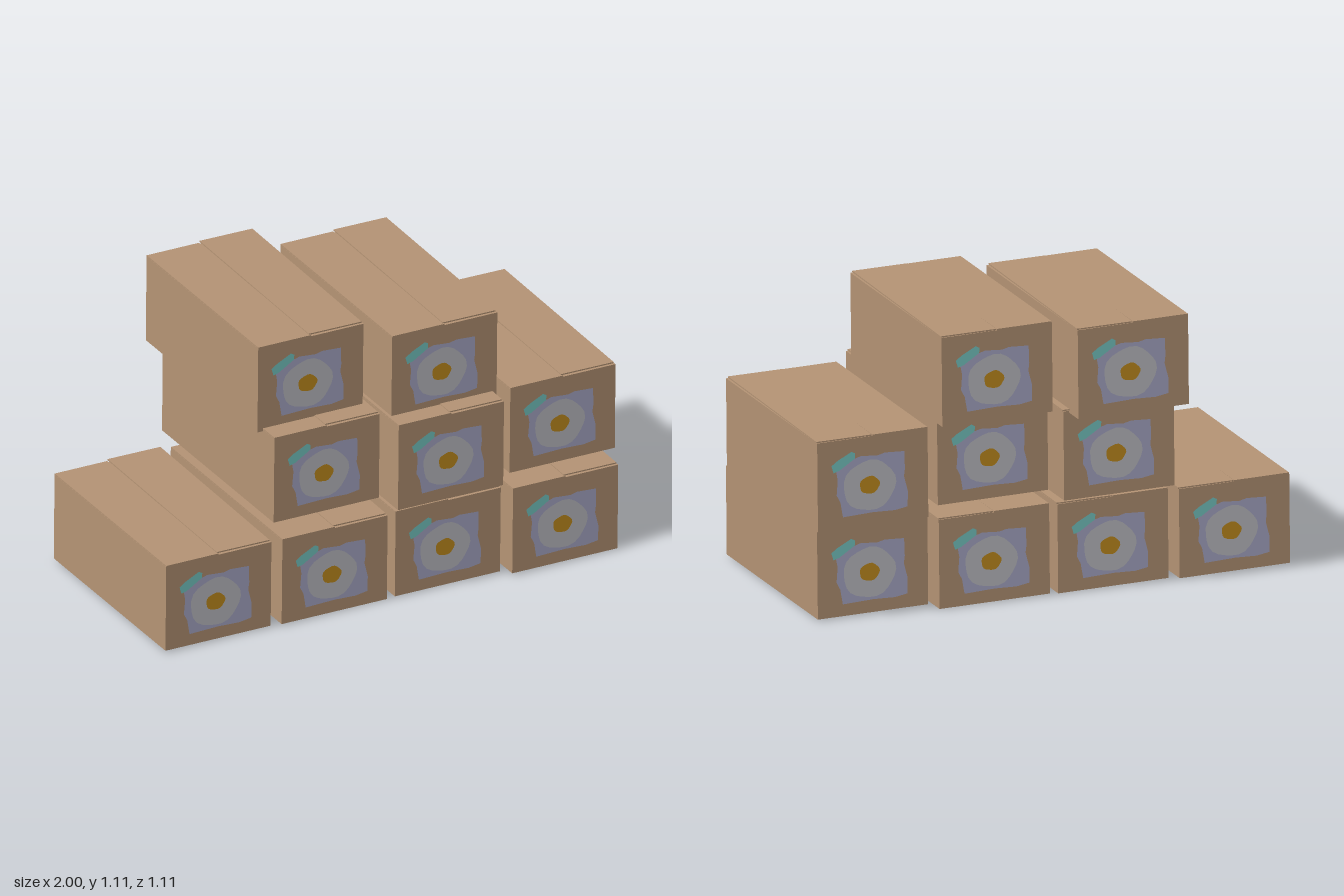
import * as THREE from 'three';

const W = 0.455, H = 0.355, D = 0.88;

const mat = (name, color) => {
  const m = new THREE.MeshStandardMaterial({ color });
  m.name = name;
  return m;
};

const polygon = (pts) => new THREE.ShapeGeometry(new THREE.Shape(pts.map(([x, y]) => new THREE.Vector2(x, y))));

// Slightly uneven ellipse, for hand-painted spots
function blob(rx, ry, wobble) {
  const pts = [];
  for (let i = 0; i < 24; i++) {
    const a = (i / 24) * Math.PI * 2;
    const r = 1 + wobble * Math.sin(a * 5 + 1);
    pts.push([Math.cos(a) * rx * r, Math.sin(a) * ry * r]);
  }
  return polygon(pts);
}

export function createModel() {
  const cardboard = mat('cardboard', 0xb59475);
  const paper = mat('lilac paper', 0xababc9);
  const petal = mat('pale grey petals', 0xc0c0c6);
  const yolk = mat('ochre centre', 0xc48e1e);
  const tape = mat('teal tape', 0x78cbc6);
  const sign = mat('olive yellow sign', 0xbda41c);
  const ink = mat('black ink', 0x14120c);

  const geo = {
    body: new THREE.BoxGeometry(W, H, D),
    flap: new THREE.BoxGeometry(W / 2 - 0.001, 0.005, D),
    paper: polygon([
      [-0.155, 0.075], [-0.125, 0.1], [-0.07, 0.098], [-0.05, 0.104], [0.02, 0.098], [0.05, 0.105],
      [0.13, 0.1], [0.132, 0.03], [0.128, 0], [0.143, -0.06], [0.142, -0.122], [0.09, -0.13],
      [0, -0.126], [-0.125, -0.13], [-0.135, -0.07], [-0.15, -0.04], [-0.145, 0.02],
    ]),
    petal: blob(0.108, 0.1, 0.03),
    yolk: blob(0.041, 0.035, 0.04),
    tape: polygon([
      [-0.055, -0.018], [-0.03, -0.022], [0.045, -0.014], [0.055, 0.004], [0.045, 0.018], [-0.02, 0.017], [-0.05, 0.012],
    ]),
    sign: polygon([[0.19, -0.34], [0.185, -0.3], [0.12, -0.04], [0.1, -0.04], [-0.04, -0.24], [-0.035, -0.265], [0.17, -0.35]]),
    dash: new THREE.PlaneGeometry(0.05, 0.009),
  };

  const add = (parent, name, g, m, x, y, z) => {
    const mesh = new THREE.Mesh(g, m);
    mesh.name = name;
    mesh.position.set(x, y, z);
    parent.add(mesh);
    return mesh;
  };

  // Taped drawing on an end of the box
  function drawing() {
    const g = new THREE.Group();
    g.name = 'endDrawing';
    add(g, 'paperSheet', geo.paper, paper, 0, 0, 0.002);
    add(g, 'petals', geo.petal, petal, -0.015, -0.016, 0.004);
    add(g, 'flowerCentre', geo.yolk, yolk, -0.015, -0.014, 0.006);
    add(g, 'tapeStrip', geo.tape, tape, -0.122, 0.092, 0.006).rotation.z = 0.45;
    return g;
  }

  // Triangular sign under the box, with dashes along its edges
  function underside() {
    const g = new THREE.Group();
    g.name = 'undersideSign';
    add(g, 'signTriangle', geo.sign, sign, 0, 0, 0.001);
    const corners = [[0.175, -0.32], [0.109, -0.07], [-0.015, -0.25]];
    corners.forEach(([x, y], i) => {
      const [u, v] = corners[(i + 1) % 3];
      for (const t of [0.2, 0.5, 0.8]) {
        const d = add(g, 'signDash', geo.dash, ink, x + (u - x) * t, y + (v - y) * t, 0.002);
        d.rotation.z = Math.atan2(v - y, u - x);
      }
    });
    return g;
  }

  function box(x, y, z) {
    const g = new THREE.Group();
    g.name = 'cardboardBox';
    add(g, 'boxBody', geo.body, cardboard, 0, 0, 0);
    // Folded lid flaps, one riding slightly higher and further back
    add(g, 'rightFlap', geo.flap, cardboard, -W / 4, H / 2 + 0.0025, 0);
    const raised = add(g, 'leftFlap', geo.flap, cardboard, W / 4, H / 2 + 0.006, -0.006);
    raised.rotation.y = -0.012;
    const front = drawing();
    front.position.z = D / 2;
    const back = drawing();
    back.position.z = -D / 2;
    back.rotation.y = Math.PI;
    const under = underside();
    // Shape y runs along z once the sign is laid face down
    under.rotation.x = Math.PI / 2;
    under.position.y = -H / 2;
    g.add(front, back, under);
    g.position.set(x, y, z);
    g.rotation.set(0, 0.054, -0.01, 'YXZ');
    return g;
  }

  const model = new THREE.Group();
  model.name = 'boxStack';
  const places = [
    // bottom row
    [-0.75, 0.188, 0.083], [-0.255, 0.186, 0.07], [0.233, 0.185, 0.045], [0.715, 0.188, 0.07],
    // middle row
    [-0.25, 0.58, -0.01], [0.22, 0.58, 0.1], [0.748, 0.566, -0.022],
    // top row
    [-0.275, 0.928, -0.1], [0.232, 0.918, 0.017],
  ];
  for (const p of places) model.add(box(...p));
  return model;
}
